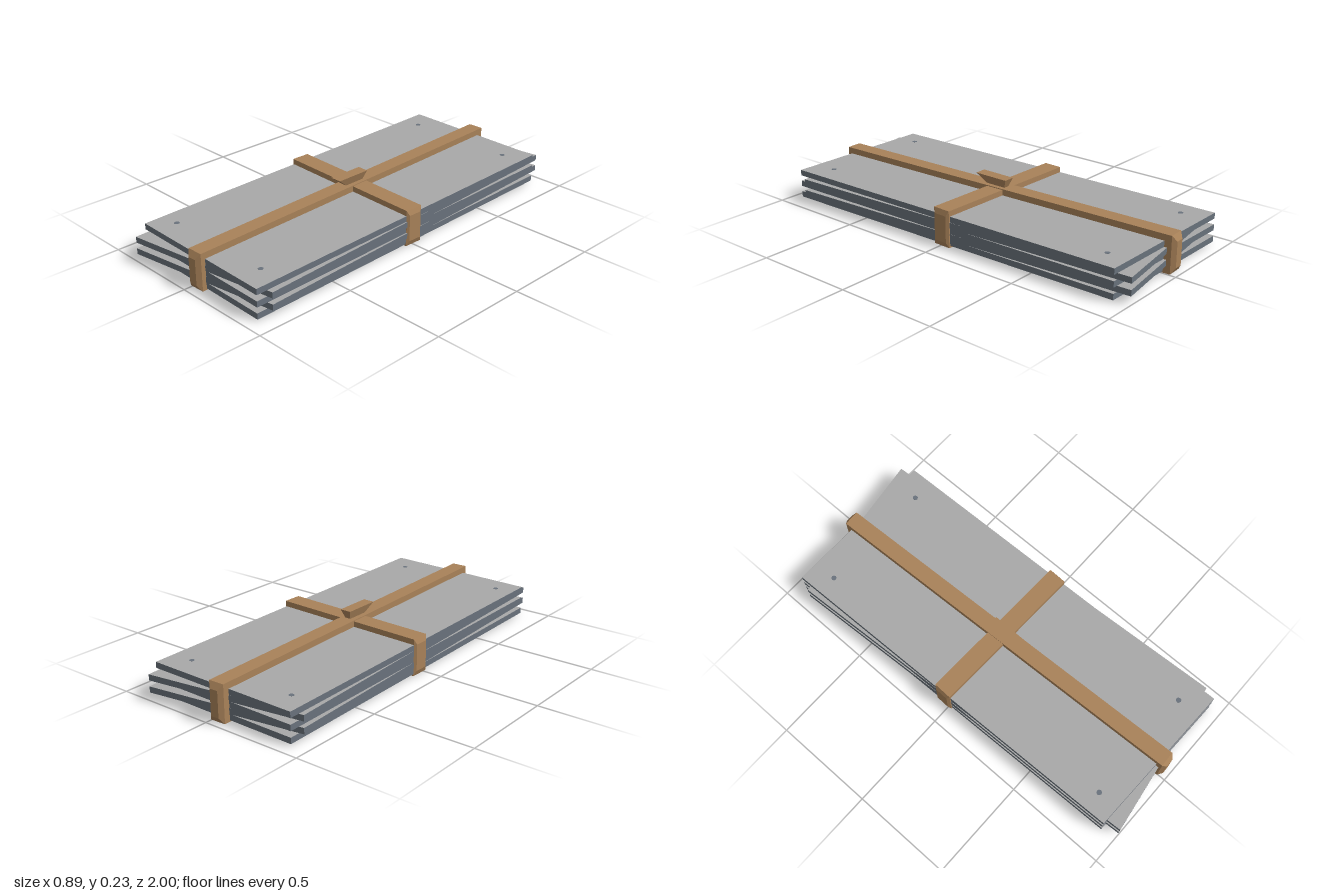
import * as THREE from 'three';

const strapMat = new THREE.MeshStandardMaterial({ name: 'strapTan', color: 0xa98259 });
const faceMat = new THREE.MeshStandardMaterial({ name: 'sheetGrey', color: 0xa8a8a8 });
const edgeMat = new THREE.MeshStandardMaterial({ name: 'sheetSlate', color: 0x69727c });

// Solid between two four-cornered sections, both counter-clockwise seen from the b side.
// Group 0 is the b face, group 1 is everything else.
function loftQuads(a, b) {
  const pos = [];
  const quad = (p, q, r, s) => pos.push(...p, ...q, ...r, ...p, ...r, ...s);
  quad(b[0], b[1], b[2], b[3]);
  quad(a[3], a[2], a[1], a[0]);
  for (let i = 0; i < 4; i++) {
    const j = (i + 1) % 4;
    quad(a[i], a[j], b[j], b[i]);
  }
  const geo = new THREE.BufferGeometry();
  geo.setAttribute('position', new THREE.Float32BufferAttribute(pos, 3));
  geo.computeVertexNormals();
  geo.addGroup(0, 6, 0);
  geo.addGroup(6, 30, 1);
  return geo;
}

function add(parent, name, geo, mat) {
  const mesh = new THREE.Mesh(geo, mat);
  mesh.name = name;
  parent.add(mesh);
  return mesh;
}

// Rectangle in the xy plane at depth z
const rectXY = (w, y0, y1, z) => [[-w, y0, z], [w, y0, z], [w, y1, z], [-w, y1, z]];
// Rectangle in the xz plane at height y
const rectXZ = (x0, x1, z0, z1, y) => [[x0, y, z0], [x0, y, z1], [x1, y, z1], [x1, y, z0]];

// Strap wrapped round the stack from one ground point to another, with bevelled ends
function makeStrap(name, from, to, o) {
  const group = new THREE.Group();
  group.name = name;
  const dx = to[0] - from[0], dz = to[1] - from[1];
  const half = Math.hypot(dx, dz) / 2;
  group.position.set((from[0] + to[0]) / 2, 0, (from[1] + to[1]) / 2);
  group.rotation.y = Math.atan2(dx, dz);

  // Runs over and under the stack
  for (const [part, y0, y1] of [['topRun', 0.148, o.top], ['bottomRun', o.bottom, 0.014]]) {
    const run = new THREE.BoxGeometry(o.w * 2, y1 - y0, half * 2);
    run.translate(0, (y0 + y1) / 2, 0);
    add(group, part, run, strapMat);
  }
  // Upright ends: short wall plus a tapered cap
  for (const side of [0, 1]) {
    const end = new THREE.Group();
    end.name = 'strapEnd';
    end.rotation.y = side * Math.PI;
    const wall = new THREE.BoxGeometry(o.w * 2, o.top - o.bottom, 0.05);
    wall.translate(0, (o.top + o.bottom) / 2, half - 0.025);
    add(end, 'endWall', wall, strapMat);
    add(end, 'endCap', loftQuads(
      rectXY(o.w, o.bottom, o.top, half),
      rectXY(o.w - o.inset, o.bottom + o.insetY, o.top - o.insetY, half + o.out)
    ), [strapMat, strapMat]);
    group.add(end);
  }
  return group;
}

export function createModel() {
  const model = new THREE.Group();
  model.name = 'strappedSheetStack';

  // Five sheets, alternating between two slightly skewed outlines
  const outlines = [
    [[-0.42, -0.94], [-0.375, 0.925], [0.415, 0.94], [0.37, -0.93]],
    [[-0.443, -0.885], [-0.343, 0.998], [0.443, 0.88], [0.343, -0.998]],
  ];
  const base = 0.01, thick = 0.0286;
  const sheets = new THREE.Group();
  sheets.name = 'sheets';
  for (let i = 0; i < 5; i++) {
    const at = (y) => outlines[i % 2].map(([x, z]) => [x, y, z]);
    add(sheets, 'sheet' + (i + 1),
      loftQuads(at(base + i * thick), at(base + (i + 1) * thick)), [faceMat, edgeMat]);
  }
  model.add(sheets);

  // Flush pins near the corners of the top sheet
  for (const [x, z] of [[-0.32, -0.82], [0.26, -0.82], [-0.28, 0.82], [0.3, 0.82]]) {
    const pin = add(model, 'pin', new THREE.CylinderGeometry(0.013, 0.013, 0.004, 8), edgeMat);
    pin.position.set(x, base + 5 * thick - 0.0015, z);
  }

  // Lengthwise and crosswise straps
  model.add(makeStrap('longStrap', [-0.04, -0.968], [0.035, 0.957],
    { w: 0.039, top: 0.184, bottom: 0.003, inset: 0.018, insetY: 0.028, out: 0.018 }));
  model.add(makeStrap('crossStrap', [-0.4, -0.03], [0.396, -0.006],
    { w: 0.046, top: 0.18, bottom: 0, inset: 0.012, insetY: 0.025, out: 0.01 }));

  // Flared knot where the straps cross
  add(model, 'knot', loftQuads(
    rectXZ(-0.014, 0.012, -0.055, 0.045, 0.178),
    rectXZ(-0.029, 0.028, -0.075, 0.105, 0.227)
  ), [strapMat, strapMat]);

  return model;
}
